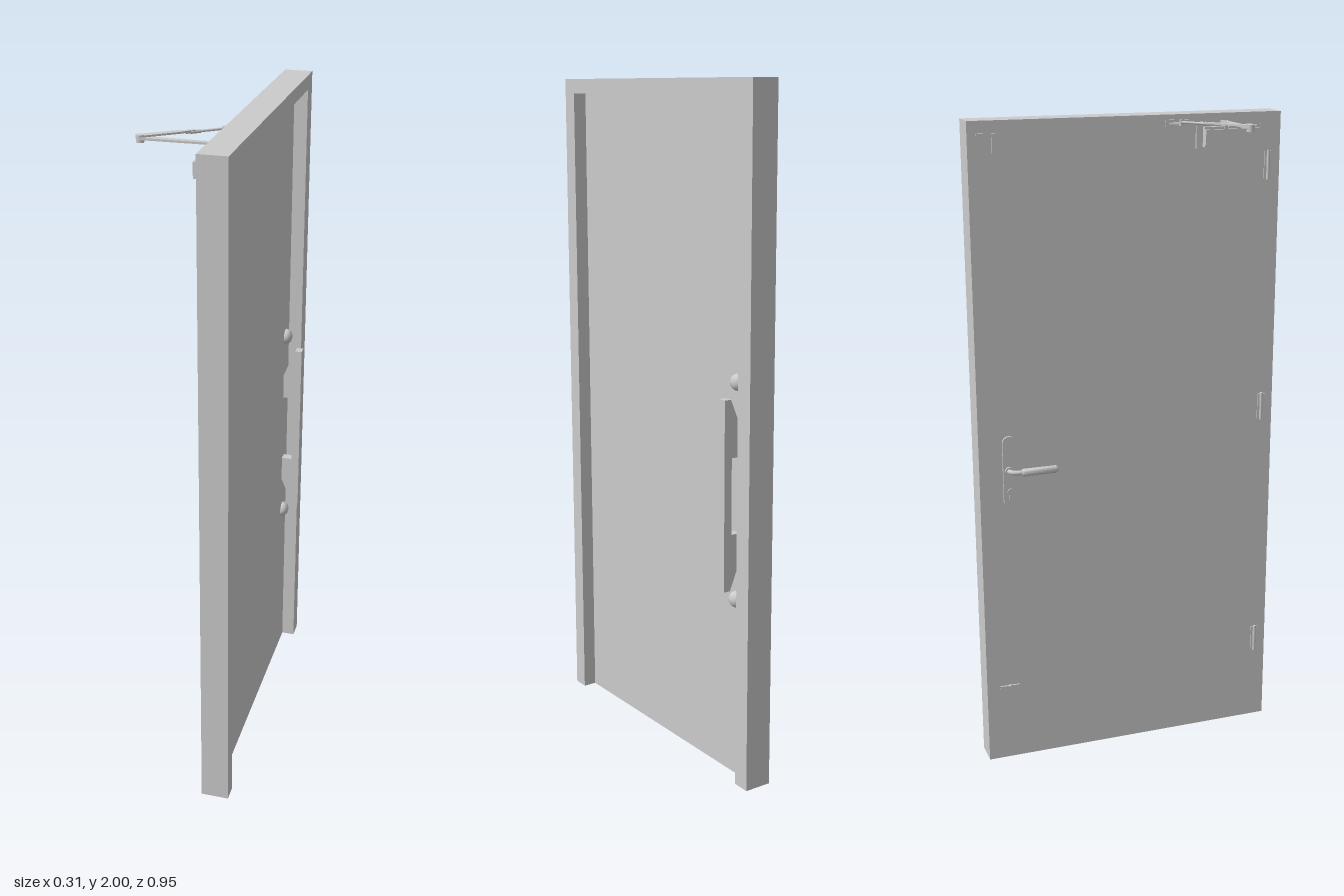
import * as THREE from 'three';
import { toCreasedNormals } from 'three/addons/utils/BufferGeometryUtils.js';

const grey = new THREE.MeshStandardMaterial({ color: 0xcccccc });

export function createModel() {
  const model = new THREE.Group();

  const add = (name, geometry, x = 0, y = 0, z = 0) => {
    const mesh = new THREE.Mesh(geometry, grey);
    mesh.name = name;
    mesh.position.set(x, y, z);
    model.add(mesh);
    return mesh;
  };

  // Box given by its limits on each axis
  const box = (name, x0, x1, y0, y1, z0, z1) =>
    add(name, new THREE.BoxGeometry(x1 - x0, y1 - y0, z1 - z0),
      (x0 + x1) / 2, (y0 + y1) / 2, (z0 + z1) / 2);

  const extrude = (shape, depth) => toCreasedNormals(
    new THREE.ExtrudeGeometry(shape, { depth, bevelEnabled: false, curveSegments: 12 }), 0.6);
  const polygon = (points) => new THREE.Shape(points.map(([a, b]) => new THREE.Vector2(a, b)));

  // Flat part drawn in plan as [x, z] points, raised from y0 to y1
  const plan = (name, points, y0, y1) => {
    const g = extrude(polygon(points.map(([x, z]) => [x, -z])), y1 - y0);
    return add(name, g.rotateX(-Math.PI / 2), 0, y0, 0);
  };

  // Cylinder whose axis runs along x
  const disc = (name, r, x0, x1, y, z, sides = 24) =>
    add(name, new THREE.CylinderGeometry(r, r, x1 - x0, sides).rotateZ(Math.PI / 2), (x0 + x1) / 2, y, z);

  // Round rod between two points
  const rod = (name, a, b, r) => {
    const p = new THREE.Vector3(...a), q = new THREE.Vector3(...b);
    const mesh = add(name, new THREE.CylinderGeometry(r, r, p.distanceTo(q), 12));
    mesh.position.copy(p).add(q).multiplyScalar(0.5);
    mesh.quaternion.setFromUnitVectors(new THREE.Vector3(0, 1, 0), q.sub(p).normalize());
    return mesh;
  };

  // Frame around three sides of the leaf, flush with it at the inner face
  const back = 0.058, face = 0.1, front = 0.141;
  const frame = extrude(polygon([
    [-0.475, 0], [-0.425, 0], [-0.425, 1.957], [0.42, 1.957],
    [0.42, 0], [0.475, 0], [0.475, 2], [-0.475, 2],
  ]), front - back);
  add('frame', frame.rotateY(Math.PI / 2), back);
  box('doorLeaf', back, face, 0, 1.957, -0.42, 0.425);

  // Pull handle with two sloping feet
  const pull = polygon([
    [0.157, 0.58], [0.157, 1.137], [0.136, 1.137], [face, 1.05], [face, 0.97], [0.132, 0.97],
    [0.132, 0.747], [face, 0.747], [face, 0.667], [0.136, 0.58],
  ]);
  add('pullHandle', extrude(pull, 0.028), 0, 0, -0.383);

  // Domed lock covers above and below the pull
  for (const y of [0.545, 1.18]) {
    const profile = [[0.024, 0], [0.024, 0.004], [0.022, 0.011], [0.017, 0.017], [0.009, 0.021], [0, 0.022]]
      .map(([r, h]) => new THREE.Vector2(r, h));
    add('lockCover', new THREE.LatheGeometry(profile, 28).rotateZ(-Math.PI / 2), face, y, -0.369);
  }

  // Lever plate with rounded ends
  const plate = new THREE.Shape();
  plate.absarc(0, 0.095, 0.02, 0, Math.PI, false);
  plate.absarc(0, -0.095, 0.02, Math.PI, Math.PI * 2, false);
  add('leverPlate', extrude(plate, 0.007).rotateY(-Math.PI / 2), back, 0.965, -0.383);

  // Lever: collar, bent neck and thicker grip
  disc('leverCollar', 0.013, 0.044, 0.052, 0.973, -0.385);
  const neck = new THREE.CatmullRomCurve3([
    [0.055, -0.387], [0.043, -0.386], [0.031, -0.379], [0.024, -0.365], [0.022, -0.345],
  ].map(([x, z]) => new THREE.Vector3(x, 0.973, z)));
  add('leverNeck', new THREE.TubeGeometry(neck, 20, 0.007, 12));
  const grip = [[0, 0], [0.009, 0], [0.0115, 0.004], [0.0115, 0.106], [0.009, 0.11], [0, 0.11]]
    .map(([r, h]) => new THREE.Vector2(r, h));
  add('leverGrip', toCreasedNormals(new THREE.LatheGeometry(grip, 16).rotateX(Math.PI / 2), 0.6),
    0.022, 0.973, -0.353);

  // Key cylinder below the lever
  disc('keyCylinder', 0.009, 0.047, 0.052, 0.907, -0.383);
  box('keyCylinderTail', 0.047, 0.052, 0.882, 0.904, -0.388, -0.378);

  // Hinges
  for (const y of [0.285, 1.093, 1.845]) {
    add('hingeKnuckle', new THREE.CylinderGeometry(0.005, 0.005, 0.088, 14), 0.054, y, 0.437);
    box('hingeLeaf', 0.055, back, y - 0.04, y + 0.04, 0.425, 0.45);
  }

  // Small catches at the upper and lower corners of the opening edge
  box('upperCatchStem', 0.052, back, 1.91, 1.965, -0.405, -0.395);
  box('upperCatchArm', 0.053, back, 1.955, 1.965, -0.45, -0.395);
  box('lowerCatchArm', 0.053, back, 0.247, 0.255, -0.435, -0.37);
  disc('lowerCatchPin', 0.006, 0.05, back, 0.251, -0.4, 14);

  // Door closer body on its mounting plate
  box('closerPlate', 0.052, back, 1.9, 1.966, 0.205, 0.412);
  plan('closerBody', [[0.053, 0.225], [0.053, 0.395], [0.026, 0.395], [0.026, 0.225]], 1.912, 1.956);
  box('closerRib', 0.035, 0.054, 1.905, 1.963, 0.225, 0.395);
  add('closerSpindle', new THREE.CylinderGeometry(0.009, 0.009, 0.028, 16), 0.042, 1.966, 0.289);

  // Closer arms, joined at a pivot
  plan('mainArm', [[0.054, 0.281], [0.054, 0.298], [0.02, 0.296], [-0.148, 0.299], [-0.148, 0.277]], 1.973, 1.979);
  add('armPivot', new THREE.CylinderGeometry(0.011, 0.011, 0.02, 20), -0.147, 1.975, 0.288);
  plan('linkArm', [
    [-0.153, 0.279], [-0.141, 0.297], [-0.055, 0.234], [-0.04, 0.219],
    [-0.02, 0.203], [-0.026, 0.195], [-0.046, 0.21], [-0.066, 0.217],
  ], 1.979, 1.984);
  rod('linkRod', [-0.045, 1.979, 0.218], [0.037, 1.979, 0.154], 0.0035);
  rod('linkSleeve', [-0.035, 1.979, 0.21], [-0.012, 1.979, 0.192], 0.005);

  // Bracket fixing the link to the frame
  plan('linkBracket', [[back, 0.11], [back, 0.188], [0.047, 0.163], [0.036, 0.153], [0.047, 0.137]], 1.972, 1.978);
  box('bracketFoot', 0.054, back, 1.965, 1.985, 0.11, 0.188);
  add('bracketPin', new THREE.CylinderGeometry(0.005, 0.005, 0.018, 14), 0.041, 1.977, 0.152);

  return model;
}
